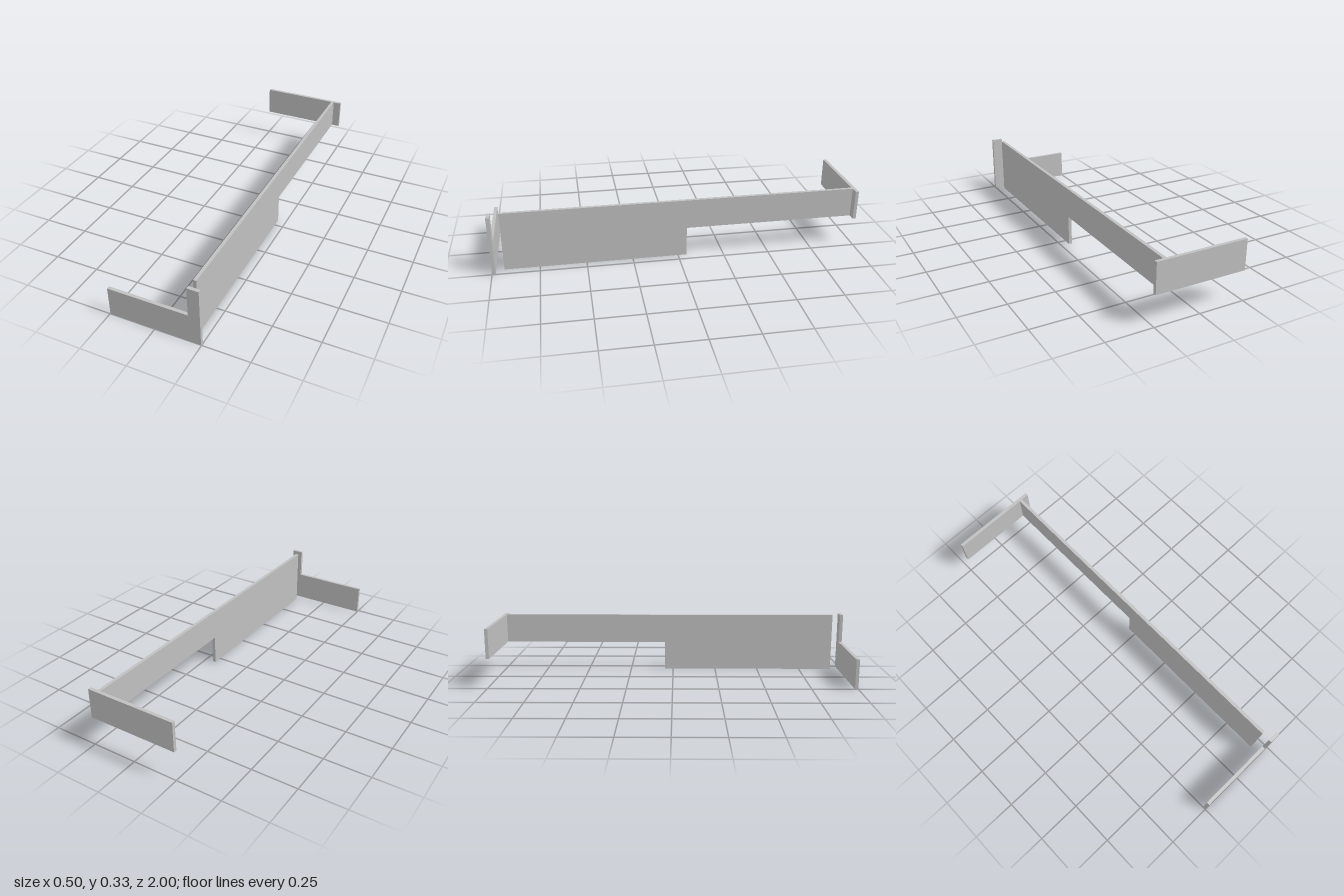
import * as THREE from 'three';

// Solid panel from a 2D outline
function panel(name, points, thickness, material) {
  const shape = new THREE.Shape(points.map(([x, y]) => new THREE.Vector2(x, y)));
  const geometry = new THREE.ExtrudeGeometry(shape, { depth: thickness, bevelEnabled: false });
  const mesh = new THREE.Mesh(geometry, material);
  mesh.name = name;
  return mesh;
}

export function createModel() {
  const group = new THREE.Group();
  group.name = 'panelFrame';
  const grey = new THREE.MeshStandardMaterial({ color: 0xc0c0c0 });
  grey.name = 'light grey';

  const T = 0.018, W = 0.2475, H = 0.327, MID = 0.1635, WALL = 0.186;

  // Front end plate: low panel with an upright at its left end
  const front = panel('frontPlate',
    [[-W, 0], [W, 0], [W, H], [WALL, H], [WALL, MID], [-W, MID]], T, grey);
  front.position.z = 1 - T;

  // Back end plate: raised panel
  const back = panel('backPlate', [[-W, MID], [W, MID], [W, H], [-W, H]], T, grey);
  back.position.z = -1;

  // Long stepped wall, drawn as (-z, y) and turned to run along z
  const wall = panel('longWall',
    [[-0.938, 0], [0.048, 0], [0.048, MID], [1 - T, MID], [1 - T, H], [-0.938, H]], T, grey);
  wall.rotation.y = Math.PI / 2;
  wall.position.x = WALL;

  group.add(front, back, wall);
  return group;
}
